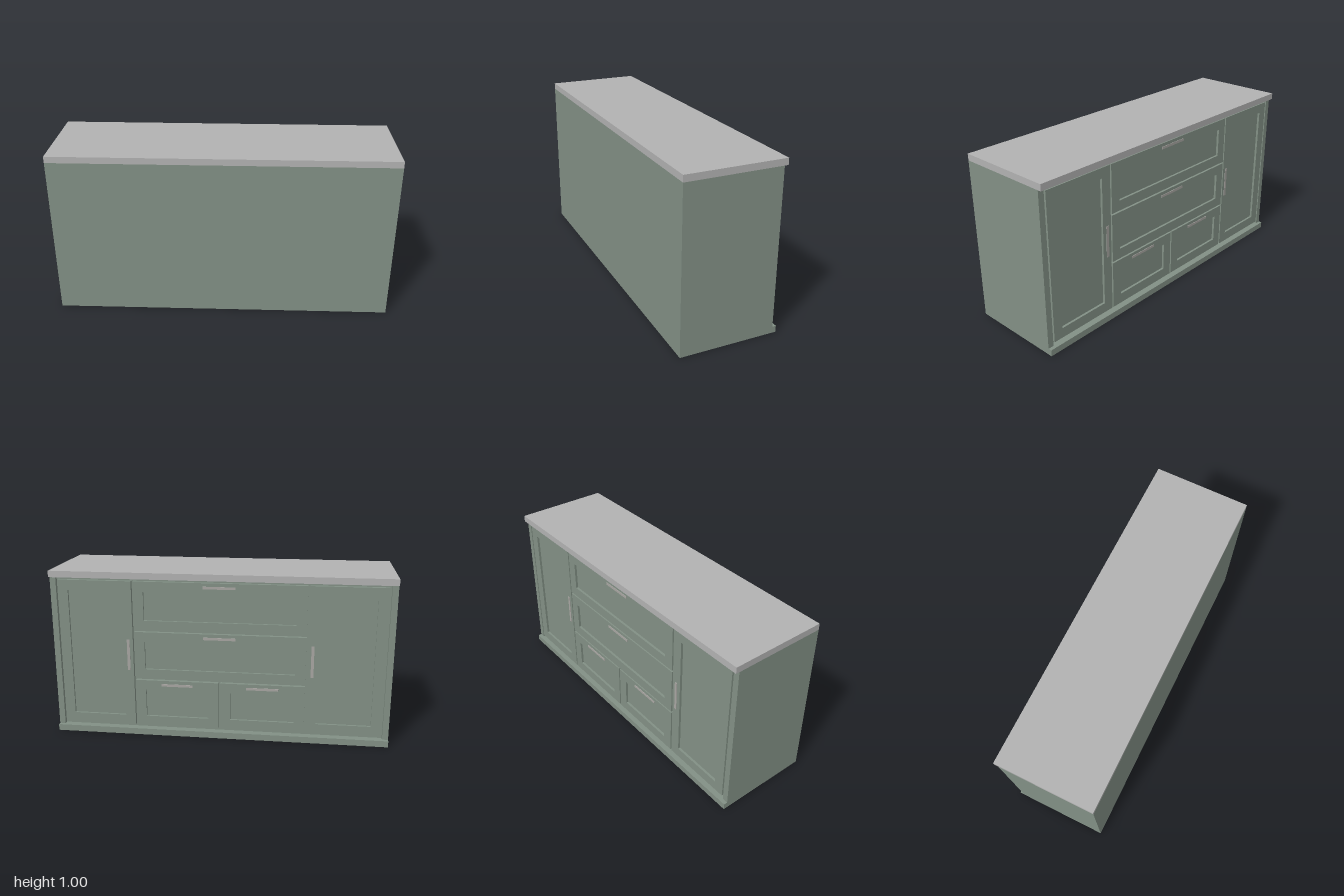
import * as THREE from 'three';

export function createModel() {
  const group = new THREE.Group();
  const paint = new THREE.MeshStandardMaterial({ color: 0x829085 });
  paint.name = 'sage paint';
  const stone = new THREE.MeshStandardMaterial({ color: 0xb2b2b2 });
  stone.name = 'grey worktop';
  const metal = new THREE.MeshStandardMaterial({ color: 0xa8a6a2 });
  metal.name = 'handle metal';

  // Box given by its limits on each axis
  function box(parent, name, mat, x0, x1, y0, y1, z0, z1) {
    const mesh = new THREE.Mesh(new THREE.BoxGeometry(x1 - x0, y1 - y0, z1 - z0), mat);
    mesh.position.set((x0 + x1) / 2, (y0 + y1) / 2, (z0 + z1) / 2);
    mesh.name = name;
    parent.add(mesh);
  }

  const FACE = -0.268, PANEL = -0.254, CORE = -0.245, RAIL = 0.06;

  // Carcass, plinth and worktop
  box(group, 'worktop', stone, -1, 1, 0.962, 1, -0.29, 0.29);
  box(group, 'plinth', paint, -1, 1, 0, 0.038, -0.29, 0.29);
  box(group, 'carcass', paint, -0.965, 0.965, 0.038, 0.962, CORE, 0.29);
  for (const s of [-1, 1]) {
    const a = s * 0.965, b = s;
    box(group, 'sidePanel', paint, Math.min(a, b), Math.max(a, b), 0.038, 0.962, FACE, 0.29);
  }

  // Framed front: recessed panel between two stiles and two rails
  function framedFront(name, x0, x1, y0, y1) {
    const front = new THREE.Group();
    front.name = name;
    box(front, 'panel', paint, x0 + RAIL, x1 - RAIL, y0 + RAIL, y1 - RAIL, PANEL, CORE);
    box(front, 'stile', paint, x0, x0 + RAIL, y0, y1, FACE, CORE);
    box(front, 'stile', paint, x1 - RAIL, x1, y0, y1, FACE, CORE);
    box(front, 'rail', paint, x0 + RAIL, x1 - RAIL, y0, y0 + RAIL, FACE, CORE);
    box(front, 'rail', paint, x0 + RAIL, x1 - RAIL, y1 - RAIL, y1, FACE, CORE);
    group.add(front);
    return front;
  }

  function handle(parent, x, y, w, h) {
    box(parent, 'handle', metal, x - w / 2, x + w / 2, y - h / 2, y + h / 2, FACE - 0.003, FACE);
  }

  // Tall doors at both ends
  for (const s of [-1, 1]) {
    const a = s * 0.515, b = s * 0.955;
    const door = framedFront('door', Math.min(a, b), Math.max(a, b), 0.055, 0.945);
    handle(door, s * 0.543, 0.5, 0.017, 0.19);
  }

  // Drawers: two wide ones above a pair
  const drawers = [
    [-0.505, 0.505, 0.653, 0.945],
    [-0.505, 0.505, 0.354, 0.643],
    [-0.505, -0.005, 0.055, 0.344],
    [0.005, 0.505, 0.055, 0.344],
  ];
  for (const [x0, x1, y0, y1] of drawers) {
    const drawer = framedFront('drawer', x0, x1, y0, y1);
    handle(drawer, (x0 + x1) / 2, y1 - 0.027, 0.19, 0.015);
  }

  return group;
}
